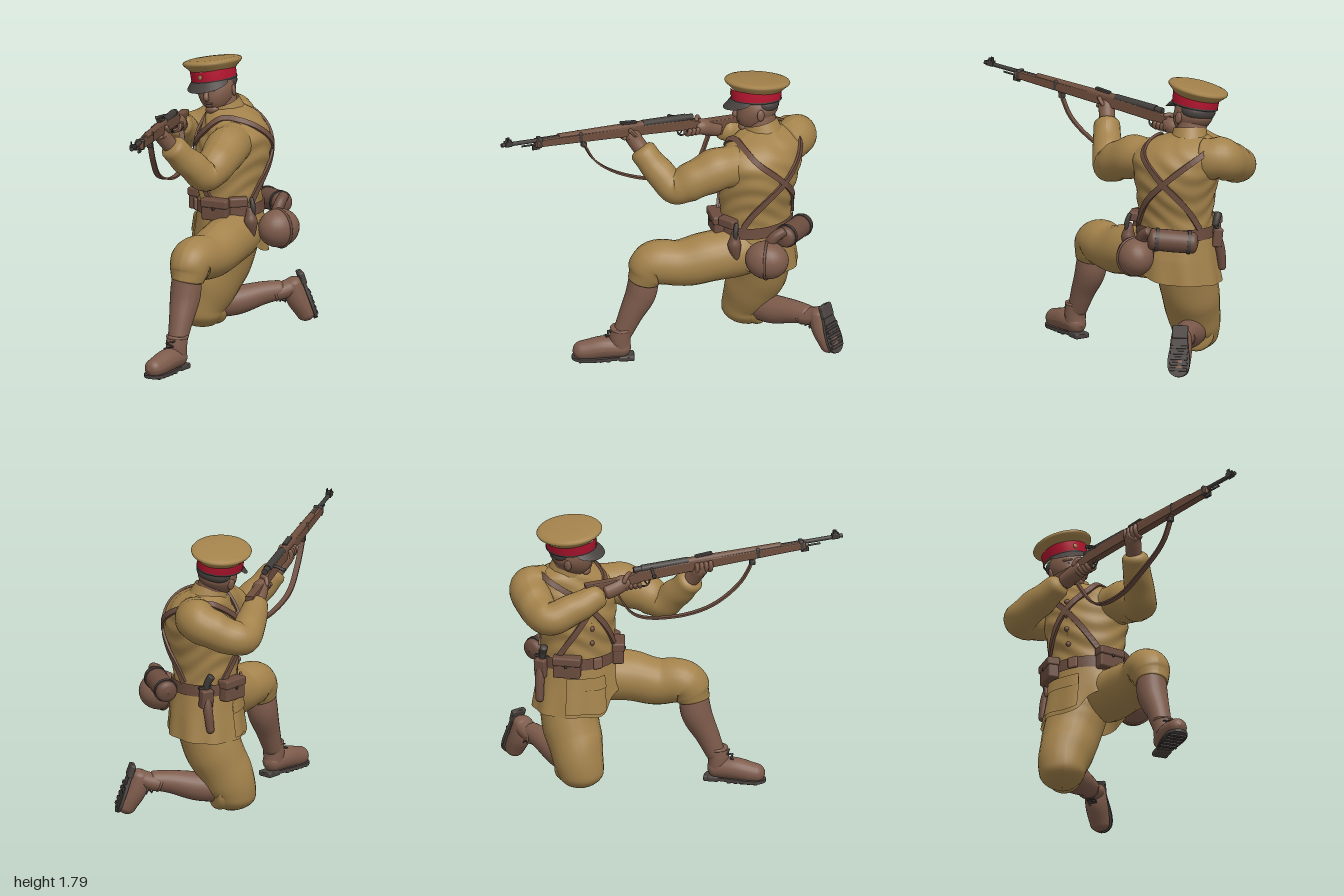
import * as THREE from 'three';
import { ParametricGeometry } from 'three/addons/geometries/ParametricGeometry.js';
import { RoundedBoxGeometry } from 'three/addons/geometries/RoundedBoxGeometry.js';

const V = (x, y, z) => new THREE.Vector3(x, y, z);
const material = (name, color, side = THREE.FrontSide) => Object.assign(new THREE.MeshStandardMaterial({ color, side }), { name });
const rad = THREE.MathUtils.degToRad;

export function createModel() {
  const model = new THREE.Group();
  const khaki = material('khaki cloth', 0xa3824b, THREE.DoubleSide);
  const skin = material('skin', 0x7c5a48);
  const leather = material('brown leather', 0x6c4d3f);
  const boot = material('legging and boot brown', 0x7d5b4b);
  const wood = material('rifle wood', 0x6e4e3d);
  const metal = material('dark metal', 0x403c39);
  const dark = material('black leather', 0x48423f, THREE.DoubleSide);
  const red = material('red band', 0xb5152f);

  const add = (parent, name, geo, mat, p = [0, 0, 0], r = [0, 0, 0]) => {
    const m = new THREE.Mesh(geo, mat);
    m.name = name;
    m.position.set(...p);
    m.rotation.set(...r);
    parent.add(m);
    return m;
  };
  const group = (parent, name, p, r = [0, 0, 0]) => {
    const g = new THREE.Group();
    g.name = name;
    g.position.set(...p);
    g.rotation.set(...r, 'YXZ');
    parent.add(g);
    return g;
  };
  const ball = (parent, name, mat, p, s, r) => add(parent, name, new THREE.SphereGeometry(1, 24, 16), mat, p, r).scale.set(...s);
  const box = (parent, name, mat, p, s, r, b = 0.012) => add(parent, name, new RoundedBoxGeometry(...s, 2, b), mat, p, r);
  const spline = (times, values, size) => new THREE.CubicInterpolant(Float32Array.from(times), Float32Array.from(values), size);

  // Round-ended tube through [x, y, z, radius] points, with optional cloth folds
  const limb = (parent, name, mat, pts, { cap = 0.08, fold = 0, waves = 30, sides = 24, seg = 48 } = {}) => {
    const c = new THREE.CatmullRomCurve3(pts.map((p) => V(p[0], p[1], p[2])));
    c.getPointAt = c.getPoint;
    c.getTangentAt = c.getTangent;
    const radii = spline(pts.map((_, i) => i / (pts.length - 1)), pts.map((p) => p[3]), 1);
    const g = new THREE.TubeGeometry(c, seg, 1, sides);
    const at = g.attributes.position, v = V(), o = V();
    for (let i = 0; i < at.count; i++) {
      const t = Math.floor(i / (sides + 1)) / seg, a = (i % (sides + 1)) / sides * Math.PI * 2;
      const e = Math.min(1, Math.min(t, 1 - t) / cap);
      const r = radii.evaluate(t)[0] * Math.max(0.02, Math.sqrt(1 - (1 - e) ** 2))
        * (1 + fold * Math.sin(t * waves + 1.7 * Math.sin(a + 1)) * (0.6 + 0.4 * Math.cos(a * 2)));
      c.getPoint(t, o);
      v.fromBufferAttribute(at, i).sub(o).multiplyScalar(r).add(o);
      at.setXYZ(i, v.x, v.y, v.z);
    }
    g.computeVertexNormals();
    return add(parent, name, g, mat);
  };
  // Flat strap: at(t) gives a point, out(t) the direction its face looks
  const ribbon = (parent, name, mat, at, out, w, th, seg = 48) => {
    const g = new ParametricGeometry((u, v, target) => {
      const p = at(v), n = out(v).normalize();
      const t = at(Math.min(1, v + 0.01)).sub(at(Math.max(0, v - 0.01))).normalize();
      const s = t.cross(n).normalize(), k = Math.round(u * 4) % 4;
      target.copy(p).addScaledVector(s, (k === 1 || k === 2 ? w : -w) / 2).addScaledVector(n, k < 2 ? th : -th);
    }, 4, seg).toNonIndexed();
    g.computeVertexNormals();
    return add(parent, name, g, mat);
  };

  // Torso: elliptical sections [y, x, z, rx, rz], chest turned to its right
  const YAW = rad(-35);
  const rows = [[0.7, -0.16, -0.42, 0.24, 0.205], [0.85, -0.17, -0.42, 0.235, 0.2], [0.95, -0.17, -0.42, 0.235, 0.2],
    [1.1, -0.17, -0.43, 0.25, 0.225], [1.25, -0.17, -0.45, 0.275, 0.23], [1.36, -0.18, -0.46, 0.28, 0.195],
    [1.43, -0.22, -0.46, 0.2, 0.15], [1.47, -0.25, -0.45, 0.1, 0.1]];
  const section = spline(rows.map((r) => r[0]), rows.flatMap((r) => r.slice(1)), 4);
  const body = (a, y, grow = 0, flare = 1) => {
    const [x, z, rx, rz] = section.evaluate(y);
    return V((rx + grow) * flare * Math.sin(a), 0, (rz + grow) * flare * Math.cos(a)).applyAxisAngle(V(0, 1, 0), YAW).add(V(x, y, z));
  };
  const around = (name, mat, y0, y1, grow, seg = 12) => add(model, name,
    new ParametricGeometry((u, v, t) => t.copy(body(u * Math.PI * 2, y0 + (y1 - y0) * v, grow(u, v))), 64, seg), mat);
  around('tunic', khaki, 0.72, 1.47, (u, v) => 0.004 * Math.sin(v * 40 + 5 * Math.sin(u * 12.6)), 40);
  around('belt', leather, 0.825, 0.9, () => 0.014);

  // Tunic skirt with a cutaway hem
  const hem = spline([-180, -135, -90, -20, 18, 32, 48, 70, 100, 140, 180], [0.55, 0.54, 0.53, 0.525, 0.53, 0.61, 0.65, 0.74, 0.73, 0.6, 0.55], 1);
  const skirt = (a, v, grow = 0) => {
    const y = 0.87 + (hem.evaluate(THREE.MathUtils.radToDeg(a))[0] - 0.87) * v;
    const p = body(a, Math.max(y, 0.7), grow + 0.006 * Math.sin(a * 9) * v, 1 + 0.17 * v);
    p.x -= 0.02 * v;
    p.y = y;
    return p;
  };
  add(model, 'tunic skirt', new ParametricGeometry((u, v, t) => t.copy(skirt(Math.PI * (1 - 2 * u), v)), 96, 12), khaki);
  for (const [name, v0, v1, g] of [['skirt pocket', 0.32, 0.94, 0.01], ['pocket flap', 0.27, 0.5, 0.018]])
    add(model, name, new ParametricGeometry((u, v, t) => t.copy(skirt(rad(18 - 56 * u), v0 + (v1 - v0) * v, g)), 12, 8), khaki);

  // Crossed shoulder straps, front and back
  const strapY = spline([-55, -30, -5, 20, 55, 100, 140, 180, 215, 235], [0.9, 1.05, 1.2, 1.33, 1.42, 1.43, 1.37, 1.2, 1.03, 0.9], 1);
  for (const s of [1, -1]) {
    const at = (t, grow = 0.012) => { const d = -55 + 290 * t; return body(rad(-d * s), strapY.evaluate(d)[0], grow); };
    const out = (t) => { const p = at(t, 0.03).sub(at(t, 0)); p.y = Math.max(0, (at(t).y - 1.3) * 0.2); return p; };
    ribbon(model, 'cross strap', leather, at, out, 0.036, 0.008, 64);
  }

  // Buttons, buckle, pouches and small kit on the belt
  const onBelt = (name, mat, deg, y, s, grow) => box(model, name, mat, body(rad(deg), y, grow).toArray(), s, [0, YAW + rad(deg), 0]);
  for (const y of [1.0, 1.1, 1.2, 1.3]) ball(model, 'button', leather, body(0, y, 0.004).toArray(), [0.017, 0.017, 0.012]);
  onBelt('buckle', boot, 8, 0.862, [0.065, 0.075, 0.02], 0.02);
  for (const [deg, y] of [[-38, 0.855], [64, 0.875]]) {
    onBelt('cartridge pouch', leather, deg, y, [0.17, 0.13, 0.07], 0.025);
    onBelt('pouch lid', leather, deg, y + 0.045, [0.18, 0.055, 0.083], 0.027);
    onBelt('pouch stud', metal, deg, y + 0.015, [0.018, 0.018, 0.012], 0.068);
  }
  onBelt('side pouch', leather, 100, 0.93, [0.12, 0.06, 0.06], 0.025);
  limb(model, 'hanging flask', leather, [[0.11, 0.9, -0.36, 0.018], [0.115, 0.85, -0.36, 0.032], [0.12, 0.8, -0.36, 0.042], [0.12, 0.7, -0.375, 0.014]]);
  limb(model, 'flask loop', metal, [[0.11, 0.96, -0.37, 0.012], [0.13, 0.9, -0.37, 0.016], [0.13, 0.85, -0.37, 0.012]]);

  // Canteen and rolled bag at the back
  ball(model, 'canteen', boot, [0.13, 0.735, -0.57], [0.115, 0.122, 0.138]);
  add(model, 'canteen strap', new THREE.TorusGeometry(0.122, 0.009, 6, 40), leather, [0.13, 0.735, -0.57], [0, 0.1, 0]).scale.x = 0.96;
  limb(model, 'canteen neck', leather, [[0.1, 0.82, -0.57, 0.035], [0.09, 0.88, -0.61, 0.035], [0.06, 0.92, -0.67, 0.03]]);
  const roll = group(model, 'rolled bag', [-0.08, 0.85, -0.69], [0, -0.23, 0.1]);
  limb(roll, 'bag roll', leather, [[-0.16, 0, 0, 0.066], [0, 0, 0, 0.07], [0.16, 0, 0, 0.066]], { cap: 0.1 });
  for (const x of [-0.1, 0.1]) add(roll, 'bag band', new THREE.CylinderGeometry(0.074, 0.074, 0.022, 24), dark, [x, 0, 0], [0, 0, Math.PI / 2]);

  // Bayonet and scabbard on the right hip
  limb(model, 'scabbard', leather, [[-0.38, 0.88, -0.55, 0.028], [-0.42, 0.75, -0.55, 0.03], [-0.44, 0.6, -0.54, 0.024]]);
  limb(model, 'bayonet grip', metal, [[-0.385, 0.86, -0.55, 0.02], [-0.4, 0.92, -0.54, 0.022], [-0.42, 0.97, -0.52, 0.025]]);
  box(model, 'bayonet guard', metal, [-0.39, 0.89, -0.55], [0.02, 0.02, 0.1], [0, 0, 0], 0.005);
  box(model, 'scabbard frog', leather, [-0.4, 0.82, -0.55], [0.06, 0.12, 0.08], [0, 0, 0.1]);

  // Sleeves
  const sleeve = { fold: 0.04, waves: 34, cap: 0.05 };
  limb(model, 'left sleeve', khaki, [[-0.06, 1.29, -0.37, 0.13], [0.05, 1.28, -0.22, 0.133], [0.125, 1.21, -0.07, 0.118], [0.142, 1.175, 0.01, 0.103], [0.12, 1.28, 0.14, 0.09], [0.09, 1.405, 0.26, 0.08]], sleeve);
  limb(model, 'right sleeve', khaki, [[-0.3, 1.33, -0.56, 0.13], [-0.41, 1.34, -0.62, 0.13], [-0.51, 1.28, -0.53, 0.118], [-0.58, 1.235, -0.4, 0.104], [-0.46, 1.3, -0.26, 0.095], [-0.33, 1.375, -0.14, 0.07]], sleeve);

  // Legs: breeches, leggings and cuffs below the knee
  const cloth = { fold: 0.03, waves: 26, cap: 0.07 };
  limb(model, 'left breeches', khaki, [[-0.1, 0.72, -0.45, 0.17], [0.05, 0.675, -0.2, 0.16], [0.135, 0.645, 0.0, 0.145], [0.185, 0.65, 0.15, 0.135], [0.2, 0.58, 0.185, 0.115], [0.202, 0.52, 0.2, 0.098]], cloth);
  limb(model, 'left legging', boot, [[0.2, 0.58, 0.2, 0.09], [0.207, 0.45, 0.215, 0.096], [0.24, 0.3, 0.275, 0.075], [0.27, 0.14, 0.335, 0.056]]);
  limb(model, 'right breeches', khaki, [[-0.19, 0.76, -0.44, 0.2], [-0.24, 0.55, -0.445, 0.185], [-0.285, 0.36, -0.385, 0.175], [-0.325, 0.19, -0.32, 0.152], [-0.325, 0.042, -0.31, 0.125]], { fold: 0.025, waves: 22, cap: 0.16 });
  limb(model, 'right knee cuff', khaki, [[-0.33, 0.165, -0.24, 0.09], [-0.32, 0.165, -0.33, 0.12], [-0.3, 0.17, -0.45, 0.105]], cloth);
  limb(model, 'right legging', boot, [[-0.3, 0.18, -0.38, 0.085], [-0.23, 0.2, -0.52, 0.09], [-0.165, 0.235, -0.67, 0.072], [-0.11, 0.25, -0.8, 0.058]]);

  // Laced boots
  const makeBoot = (name, p, r, scale) => {
    const g = group(model, name, p, r);
    g.scale.set(...scale);
    limb(g, 'boot foot', boot, [[0, 0.075, -0.075, 0.056], [0, 0.085, 0.01, 0.066], [0, 0.085, 0.1, 0.07], [0, 0.068, 0.2, 0.064], [0, 0.06, 0.29, 0.052]], { cap: 0.14 });
    limb(g, 'boot shaft', boot, [[0, 0.06, -0.015, 0.06], [0, 0.14, -0.005, 0.066], [0, 0.22, -0.015, 0.066]], { cap: 0.04 });
    add(g, 'boot collar', new THREE.TorusGeometry(0.062, 0.009, 8, 28), boot, [0, 0.215, -0.015], [Math.PI / 2, 0, 0]);
    const s = new THREE.Shape();
    s.moveTo(-0.05, 0.06).bezierCurveTo(-0.05, 0.11, 0.05, 0.11, 0.05, 0.06);
    s.bezierCurveTo(0.035, -0.02, 0.08, -0.12, 0.068, -0.22).bezierCurveTo(0.055, -0.32, -0.055, -0.32, -0.068, -0.22).bezierCurveTo(-0.08, -0.12, -0.035, -0.02, -0.05, 0.06);
    add(g, 'boot sole', new THREE.ExtrudeGeometry(s, { depth: 0.02, bevelEnabled: false }), dark, [0, 0.01, 0], [-Math.PI / 2, 0, 0]);
    box(g, 'boot heel', dark, [0, 0.018, -0.045], [0.1, 0.036, 0.1]);
    for (let i = 0; i < 5; i++) box(g, 'tread bar', dark, [0, 0.008, 0.07 + i * 0.042], [0.11, 0.016, 0.025], [0, 0, 0], 0.004);
    for (let i = 0; i < 5; i++) box(g, 'lace', dark, [0, 0.147 + 0.015 * i, 0.09 - 0.011 * i], [0.06, 0.008, 0.012], [0, 0, i % 2 ? 0.25 : -0.25], 0.003);
  };
  makeBoot('left boot', [0.275, 0, 0.34], [0, 0.3, 0], [1, 1, 1]);
  makeBoot('right boot', [-0.06, 0.29, -0.925], [rad(109), -0.4, 0], [1, 1, 0.83]);

  // Neck, collar and head
  limb(model, 'neck', skin, [[-0.24, 1.36, -0.45, 0.1], [-0.26, 1.45, -0.44, 0.092], [-0.285, 1.56, -0.42, 0.092]]);
  const collar = add(model, 'collar', new THREE.CylinderGeometry(0.105, 0.125, 0.085, 32, 1, true), khaki, [-0.255, 1.455, -0.44], [0.28, 0, 0.1]);
  collar.scale.x = 0.97;
  const head = group(model, 'head', [-0.285, 1.565, -0.4], [-0.03, 0.38, 0.18]);
  const skull = new THREE.SphereGeometry(1, 40, 30), sp = skull.attributes.position;
  for (let i = 0; i < sp.count; i++) {
    const x = sp.getX(i), y = sp.getY(i), z = sp.getZ(i), k = Math.max(0, -y);
    sp.setXYZ(i, x * 0.118 * (1 - 0.18 * k), y * 0.135, z * 0.132 * (z > 0 ? 1 - 0.06 * (1 - k) : 1 - 0.3 * k) + 0.022 * k);
  }
  skull.computeVertexNormals();
  add(head, 'face', skull, skin);
  ball(head, 'hair', dark, [0, 0.045, -0.045], [0.118, 0.07, 0.096]);
  limb(head, 'nose', skin, [[0, 0.03, 0.108, 0.012], [0, -0.005, 0.127, 0.015], [0, -0.03, 0.136, 0.018], [0, -0.042, 0.12, 0.014]]);
  ball(head, 'upper lip', skin, [0, -0.068, 0.115], [0.03, 0.008, 0.012]);
  ball(head, 'lower lip', skin, [0, -0.083, 0.111], [0.026, 0.009, 0.012]);
  ball(head, 'chin', skin, [0, -0.112, 0.085], [0.045, 0.026, 0.03]);
  for (const s of [-1, 1]) {
    ball(head, 'eye', dark, [s * 0.044, 0.008, 0.109], [0.018, 0.005, 0.006], [0, s * 0.35, 0]);
    ball(head, 'brow', skin, [s * 0.045, 0.033, 0.105], [0.034, 0.011, 0.016], [0, s * 0.4, 0]);
    ball(head, 'ear', skin, [s * 0.118, -0.012, -0.01], [0.013, 0.036, 0.024], [0, s * 0.3, 0]);
  }

  // Peaked cap
  const cap = group(head, 'peaked cap', [-0.005, 0.067, 0.003]);
  cap.scale.x = 0.87;
  const lathe = (name, mat, pts) => add(cap, name, new THREE.LatheGeometry(pts.map((p) => new THREE.Vector2(...p)), 56), mat);
  lathe('red band', red, [[0.148, 0], [0.156, 0.004], [0.16, 0.072]]);
  lathe('cap crown', khaki, [[0.158, 0.062], [0.164, 0.068], [0.186, 0.088], [0.202, 0.102], [0.206, 0.112], [0.199, 0.122], [0.17, 0.13], [0.09, 0.135], [0.0005, 0.136]]).rotation.x = -0.06;
  lathe('band trim', dark, [[0.15, -0.006], [0.16, -0.002], [0.159, 0.008]]);
  add(cap, 'visor', new ParametricGeometry((u, v, t) => {
    const a = (u - 0.5) * 2.5, w = Math.sqrt(Math.max(0, Math.cos(a * 1.25))) * v;
    t.set((0.157 + 0.05 * w) * Math.sin(a), 0.006 - 0.06 * w, (0.157 + 0.05 * w) * Math.cos(a));
  }, 32, 6), dark);
  ball(cap, 'cap button', khaki, [0, 0.038, 0.158], [0.015, 0.015, 0.006]);

  // Rifle: local +z runs to the muzzle, y = 0 is the bore
  const rifle = group(model, 'rifle', [-0.4, 1.46, -0.24]);
  rifle.lookAt(0.675, 1.615, 0.985);
  const along = (name, mat, r, z0, z1, y = 0, r2 = r) => add(rifle, name, new THREE.CylinderGeometry(r2, r, z1 - z0, 20), mat, [0, y, (z0 + z1) / 2], [Math.PI / 2, 0, 0]);
  const stock = new THREE.Shape();
  stock.moveTo(0, -0.03).lineTo(0.01, -0.15).lineTo(0.2, -0.1).quadraticCurveTo(0.27, -0.075, 0.36, -0.058).lineTo(0.6, -0.05);
  stock.lineTo(1.4, -0.03).lineTo(1.4, 0.004).lineTo(0.6, 0.006).lineTo(0.34, 0.0).quadraticCurveTo(0.27, -0.03, 0.2, -0.03).lineTo(0, -0.03);
  const stockGeo = new THREE.ExtrudeGeometry(stock, { depth: 0.026, bevelThickness: 0.014, bevelSize: 0.008, bevelSegments: 3 }).translate(0, 0, -0.013);
  add(rifle, 'stock', stockGeo, wood, [0, 0, 0], [0, -Math.PI / 2, 0]);
  along('handguard', wood, 0.027, 0.66, 1.25, 0.006, 0.022);
  along('receiver', metal, 0.025, 0.36, 0.66, 0.012);
  along('barrel', metal, 0.015, 0.6, 1.645, 0.003, 0.013);
  along('cleaning rod', metal, 0.006, 1.38, 1.5, -0.024);
  along('bolt cap', metal, 0.02, 0.31, 0.37, 0.012);
  limb(rifle, 'bolt handle', metal, [[0, 0.012, 0.42, 0.01], [-0.05, 0.005, 0.42, 0.009], [-0.085, -0.01, 0.42, 0.012], [-0.1, -0.015, 0.42, 0.016]], { sides: 10 });
  box(rifle, 'rear sight', metal, [0, 0.036, 0.76], [0.03, 0.016, 0.11], [-0.06, 0, 0], 0.005);
  for (const z of [1.1, 1.38]) box(rifle, 'barrel band', metal, [0, -0.011, z], [0.058, 0.066, 0.028], [0, 0, 0], 0.01);
  box(rifle, 'bayonet lug', metal, [0, -0.045, 1.4], [0.016, 0.03, 0.05], [0, 0, 0], 0.004);
  box(rifle, 'sight base', metal, [0, 0.008, 1.6], [0.035, 0.035, 0.05], [0, 0, 0], 0.005);
  for (const s of [-1, 1]) box(rifle, 'front sight wing', metal, [s * 0.013, 0.03, 1.6], [0.007, 0.028, 0.025], [0, 0, 0], 0.003);
  add(rifle, 'trigger guard', new THREE.TorusGeometry(0.034, 0.006, 8, 28), metal, [0, -0.072, 0.37], [0, Math.PI / 2, 0]);
  limb(rifle, 'trigger', metal, [[0, -0.05, 0.37, 0.006], [0, -0.075, 0.375, 0.005], [0, -0.095, 0.385, 0.004]], { sides: 8 });

  // Hands wrapped round the rifle
  limb(model, 'left palm', skin, [[0.092, 1.38, 0.235, 0.05], [0.085, 1.435, 0.28, 0.05], [0.08, 1.475, 0.31, 0.052], [0.09, 1.49, 0.35, 0.038]]);
  limb(model, 'right palm', skin, [[-0.33, 1.37, -0.15, 0.05], [-0.28, 1.395, -0.1, 0.052], [-0.235, 1.42, -0.06, 0.05], [-0.21, 1.43, -0.02, 0.035]]);
  const finger = (name, pts) => limb(rifle, name, skin, pts.map((p) => [...p, 0.0145]), { sides: 10, seg: 20, cap: 0.1 });
  for (let i = 0; i < 4; i++) {
    const z = 0.69 + i * 0.029, g = 0.245 + i * 0.028;
    finger('left finger', [[0.025, -0.065, z], [-0.025, -0.063, z + 0.01], [-0.043, -0.035, z + 0.015], [-0.035, 0.005, z + 0.015]]);
    finger('right finger', [[-0.035, -0.065, g], [-0.005, -0.1, g + 0.01], [0.035, -0.085, g + 0.012], [0.038, -0.05, g + 0.005]]);
  }
  finger('left thumb', [[0.02, -0.07, 0.7], [0.043, -0.035, 0.73], [0.036, 0.005, 0.77]]);
  finger('right thumb', [[-0.04, -0.05, 0.23], [-0.025, -0.008, 0.26], [0.02, -0.01, 0.29]]);

  // Sling hanging under the rifle
  const sling = new THREE.CatmullRomCurve3([V(0.31, 1.52, 0.57), V(0.255, 1.36, 0.5), V(0.13, 1.22, 0.36), V(0, 1.15, 0.15), V(-0.14, 1.18, -0.03), V(-0.27, 1.39, -0.11)]);
  ribbon(model, 'sling', leather, (t) => sling.getPoint(t), (t) => V(0.66, 0, 0.75).cross(V(0, 1, 0)).cross(sling.getTangent(t)), 0.034, 0.006);
  box(model, 'sling buckle', metal, [0.3, 1.49, 0.56], [0.035, 0.03, 0.035], [0, 0.7, 0], 0.006);
  return model;
}
